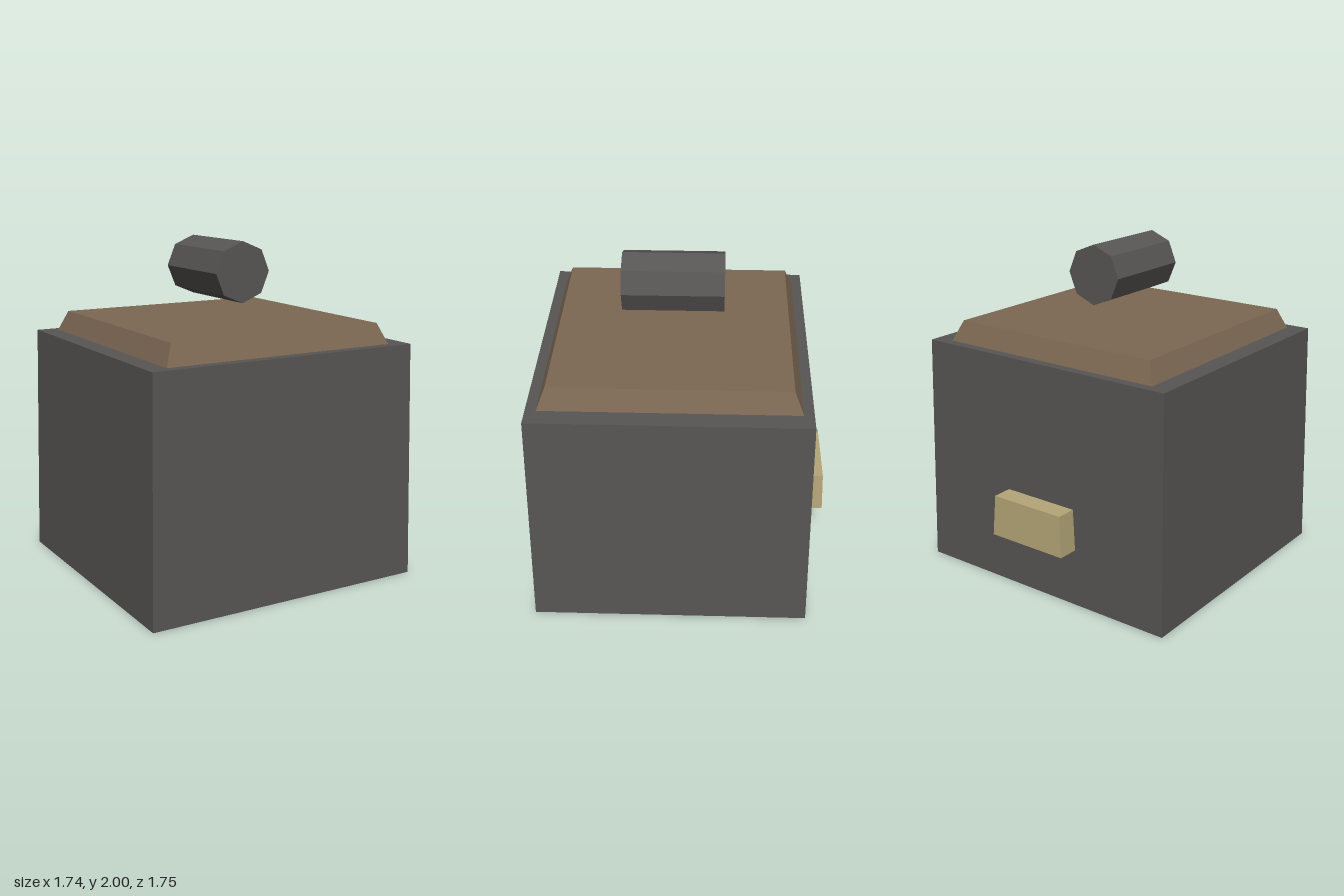
import * as THREE from 'three';

const paint = (color) => new THREE.MeshStandardMaterial({ color, flatShading: true });

// Box whose top is inset from its base. Base rectangle and top rectangle: [halfX, zBack, zFront]
function taperedBox(name, material, y0, y1, base, top) {
  const geometry = new THREE.BoxGeometry(2, 2, 2);
  const p = geometry.attributes.position;
  for (let i = 0; i < p.count; i++) {
    const [halfX, zBack, zFront] = p.getY(i) > 0 ? top : base;
    p.setXYZ(i, p.getX(i) * halfX, p.getY(i) > 0 ? y1 : y0, p.getZ(i) > 0 ? zFront : zBack);
  }
  geometry.computeVertexNormals();
  const mesh = new THREE.Mesh(geometry, material);
  mesh.name = name;
  return mesh;
}

export function createModel() {
  const group = new THREE.Group();
  group.name = 'box';
  const grey = paint(0x585654);
  const brown = paint(0x7c6853);
  const brass = paint(0xb5a678);

  // Main body and raised lid panel
  group.add(taperedBox('body', grey, 0, 1.407, [0.871, -0.757, 0.875], [0.843, -0.73, 0.848]));
  group.add(taperedBox('lidPanel', brown, 1.407, 1.528, [0.728, -0.672, 0.787], [0.677, -0.62, 0.737]));

  // Block on the back wall, sunk slightly into the body
  group.add(taperedBox('backBlock', brass, 0.347, 0.595, [0.258, -0.875, -0.735], [0.242, -0.866, -0.735]));

  // Eight-sided bar floating above the lid, running front to back
  const bar = new THREE.Mesh(new THREE.CylinderGeometry(0.178, 0.178, 0.585, 8), grey);
  bar.name = 'topBar';
  bar.rotation.x = Math.PI / 2;
  bar.position.set(0, 1.822, 0.06);
  group.add(bar);

  return group;
}
